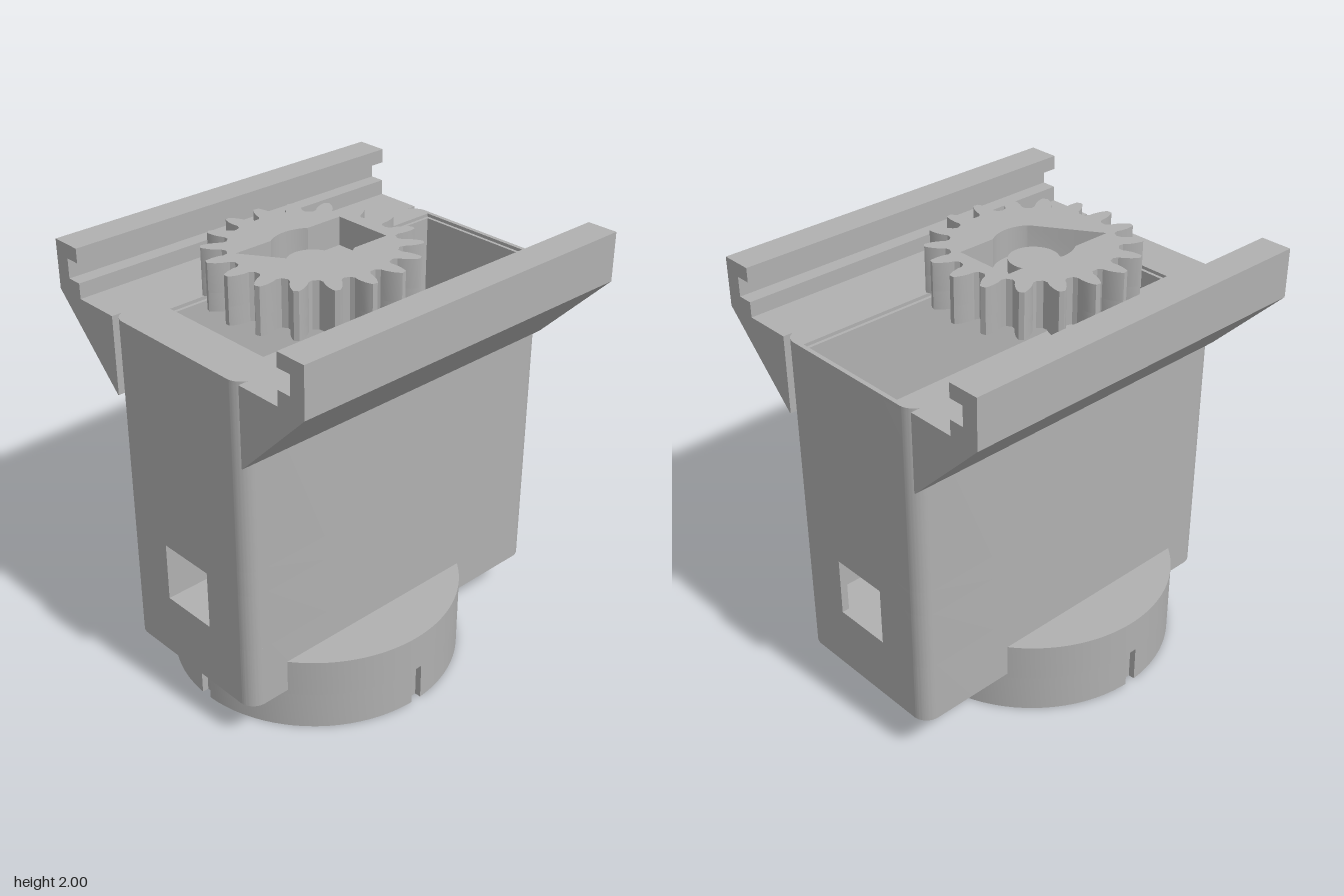
import * as THREE from 'three';
import { toCreasedNormals } from 'three/addons/utils/BufferGeometryUtils.js';

const CX = -0.14; // axis shared by the gear and the round base
const HX = 0.875, HZ = 0.405, R = 0.075; // housing half sizes and corner radius

const poly = (pts) => new THREE.Shape(pts.map(([x, y]) => new THREE.Vector2(x, y)));
const rect = (x0, x1, z0, z1) => poly([[x0, -z1], [x1, -z1], [x1, -z0], [x0, -z0]]);
const circle = (r, x = CX) => new THREE.Shape().absarc(x, 0, r, 0, Math.PI * 2, false);

function roundedOutline() {
  const s = new THREE.Shape();
  s.absarc(HX - R, HZ - R, R, 0, Math.PI / 2, false);
  s.absarc(-HX + R, HZ - R, R, Math.PI / 2, Math.PI, false);
  s.absarc(-HX + R, -HZ + R, R, Math.PI, Math.PI * 1.5, false);
  s.absarc(HX - R, -HZ + R, R, Math.PI * 1.5, Math.PI * 2, false);
  return s;
}

export function createModel() {
  const model = new THREE.Group();
  const grey = new THREE.MeshStandardMaterial({ color: 0xb0b0b0 });
  grey.name = 'light grey';

  // Horizontal slab: a plan shape raised from y0 to y1
  function slab(name, parent, shape, y0, y1, holes = [], segments = 12) {
    shape.holes.push(...holes);
    const geo = new THREE.ExtrudeGeometry(shape, { depth: y1 - y0, bevelEnabled: false, curveSegments: segments });
    geo.rotateX(-Math.PI / 2).translate(0, y0, 0);
    const mesh = new THREE.Mesh(toCreasedNormals(geo, 0.5), grey);
    mesh.name = name;
    parent.add(mesh);
    return mesh;
  }

  function group(name) {
    const g = new THREE.Group();
    g.name = name;
    model.add(g);
    return g;
  }

  // Housing: shaft hole, cross tunnel, cable slot and motor pocket, from the bottom up
  const housing = group('housing');
  const slot = () => rect(0.62, 0.84, -0.28, 0.28);
  slab('housingBottom', housing, roundedOutline(), 0.2, 0.5, [circle(0.17)], 24);
  for (const side of [1, -1]) {
    const s = new THREE.Shape();
    s.moveTo(-HX, 0.14 * side);
    for (const [x, y] of [[0.62, 0.14], [0.62, 0.28], [0.84, 0.28], [0.84, 0.14], [HX, 0.14]]) s.lineTo(x, y * side);
    s.absarc(HX - R, (HZ - R) * side, R, 0, side * Math.PI / 2, side < 0);
    s.absarc(-HX + R, (HZ - R) * side, R, side * Math.PI / 2, side * Math.PI, side < 0);
    slab('tunnelWall', housing, s, 0.5, 0.78);
  }
  slab('pocketFloor', housing, roundedOutline(), 0.78, 0.9, [slot()]);
  slab('pocketWalls', housing, roundedOutline(), 0.9, 1.76, [rect(-0.645, 0.84, -0.28, 0.275)]);
  slab('pocketLip', housing, roundedOutline(), 1.76, 1.775, [rect(-0.66, 0.855, -0.295, 0.29)]);

  // Sloped brackets carrying the grooved rails
  const profile = [[0.4, 1.41], [0.405, 1.41], [0.768, 1.775], [0.768, 2], [0.622, 2], [0.622, 1.935],
    [0.692, 1.935], [0.692, 1.845], [0.622, 1.845], [0.622, 1.775], [0.4, 1.775]];
  const railGeo = new THREE.ExtrudeGeometry(poly(profile), { depth: HX * 2, bevelEnabled: false });
  railGeo.translate(0, 0, -HX).rotateY(-Math.PI / 2);
  for (const [name, turn] of [['frontRail', 0], ['backRail', Math.PI]]) {
    const rail = new THREE.Mesh(railGeo, grey);
    rail.name = name;
    rail.rotation.y = turn;
    model.add(rail);
  }

  // Round base: a recessed ring with four small notches, under a disc
  const base = group('base');
  const outer = 0.668, half = 0.028, notchDepth = 0.03;
  const ring = [];
  for (let q = 0; q < 4; q++) {
    const a = q * Math.PI / 2, edge = Math.asin(half / outer);
    const put = (r, t) => ring.push([CX + r * Math.cos(a + t), r * Math.sin(a + t)]);
    put(outer, -edge);
    put(outer - notchDepth, -edge);
    put(outer - notchDepth, edge);
    for (let i = 0; i <= 20; i++) put(outer, edge + (Math.PI / 2 - 2 * edge) * i / 20.5);
  }
  slab('baseRing', base, poly(ring), 0, 0.178, [circle(0.56)], 64);
  slab('baseDisc', base, circle(outer), 0.178, 0.355, [circle(0.17)], 84);

  // Gear with eighteen tapered teeth and a pocket for the drive arm
  const gear = group('gear');
  const toothSide = [[0.352, 0.048], [0.37, 0.036], [0.395, 0.035], [0.425, 0.028], [0.45, 0.017], [0.458, 0.011]];
  const gearOutline = () => {
    const pts = [];
    for (let i = 0; i < 18; i++) {
      const a = i * Math.PI / 9, c = Math.cos(a), s = Math.sin(a);
      const put = (r, w) => pts.push([CX + r * c - w * s, r * s + w * c]);
      toothSide.forEach(([r, w]) => put(r, -w));
      [...toothSide].reverse().forEach(([r, w]) => put(r, w));
    }
    return poly(pts);
  };
  const bulge = Math.asin(0.142 / 0.175);
  const armPocket = new THREE.Path();
  armPocket.moveTo(-0.43, -0.142);
  armPocket.absarc(CX, 0, 0.175, Math.PI + bulge, Math.PI * 2 - bulge, false);
  armPocket.lineTo(0.145, -0.142);
  armPocket.lineTo(0.145, 0.142);
  armPocket.absarc(CX, 0, 0.175, bulge, Math.PI - bulge, false);
  armPocket.lineTo(-0.43, 0.142);
  slab('gearBottom', gear, gearOutline(), 1.787, 1.87);
  slab('gearTop', gear, gearOutline(), 1.87, 2, [armPocket]);
  slab('gearHub', gear, circle(0.11), 1.76, 1.93, [], 32);

  return model;
}
